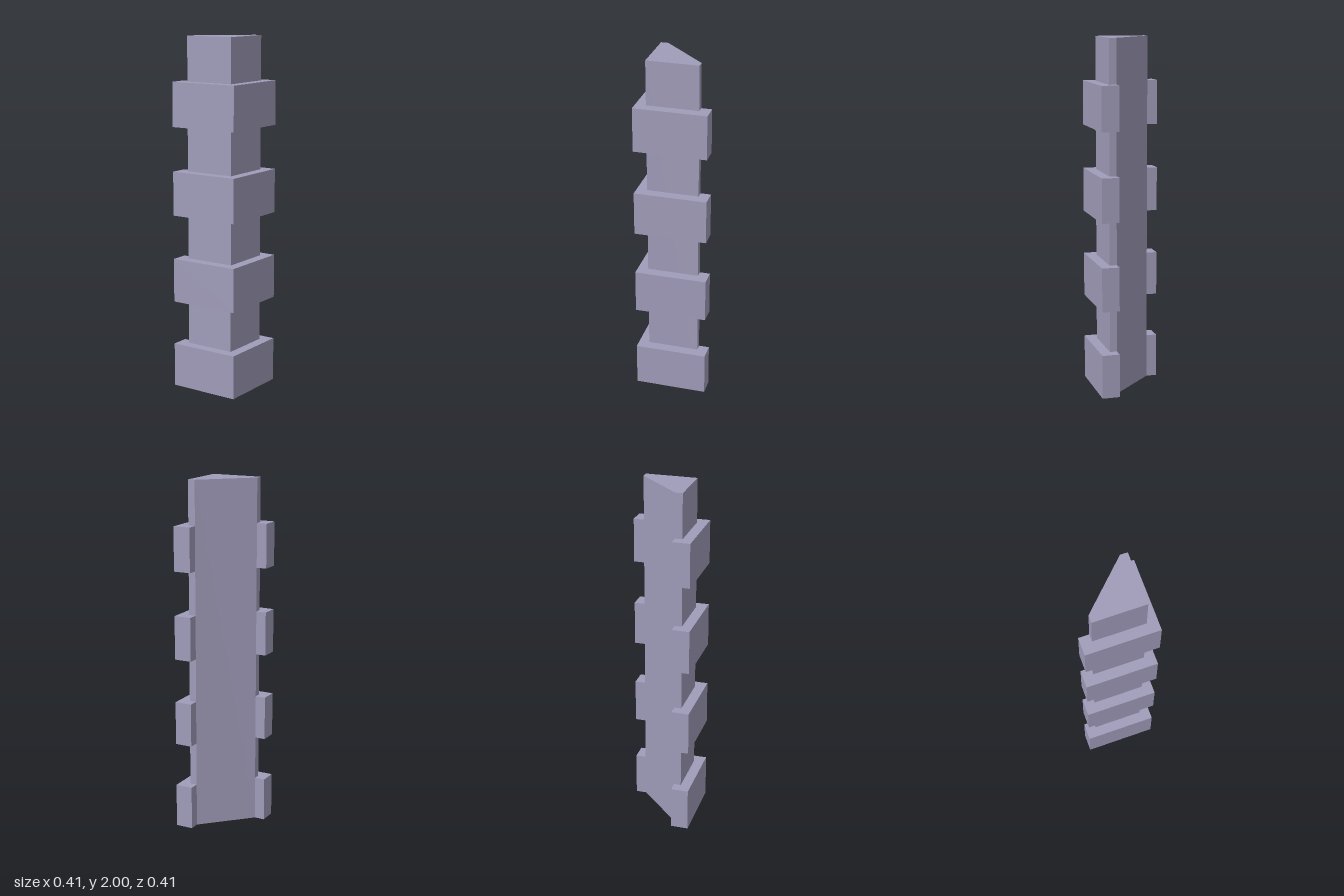
import * as THREE from 'three';

const OUT = 0.205;   // outer reach of the projecting blocks
const IN = 0.146;    // outer reach of the shaft
const CUT = 0.105;   // where the diagonal back begins
const COURSE = 0.25; // height of one course

// Upright prism from a plan outline given as [x, z] points
function prism(points, height) {
  const shape = new THREE.Shape(points.map(([x, z]) => new THREE.Vector2(x, -z)));
  const geometry = new THREE.ExtrudeGeometry(shape, { depth: height, bevelEnabled: false });
  return geometry.rotateX(-Math.PI / 2);
}

export function createModel() {
  const group = new THREE.Group();
  group.name = 'cornerQuoins';
  const stone = new THREE.MeshStandardMaterial({ color: 0xa09cba, flatShading: true });

  // Full-height corner shaft with a diagonal back
  const shaft = new THREE.Mesh(
    prism([[-IN, CUT], [-IN, IN], [IN, IN], [IN, -IN], [CUT, -IN]], 8 * COURSE),
    stone
  );
  shaft.name = 'shaft';
  group.add(shaft);

  // L-shaped blocks wrapping the corner on every other course
  const blockGeometry = prism([
    [-OUT, CUT], [-OUT, OUT], [OUT, OUT], [OUT, -OUT], [CUT, -OUT],
    [CUT, -IN], [IN, -IN], [IN, IN], [-IN, IN], [-IN, CUT],
  ], COURSE);
  for (let i = 0; i < 4; i++) {
    const block = new THREE.Mesh(blockGeometry, stone);
    block.name = `quoinBlock${i + 1}`;
    block.position.y = i * 2 * COURSE;
    group.add(block);
  }
  return group;
}
